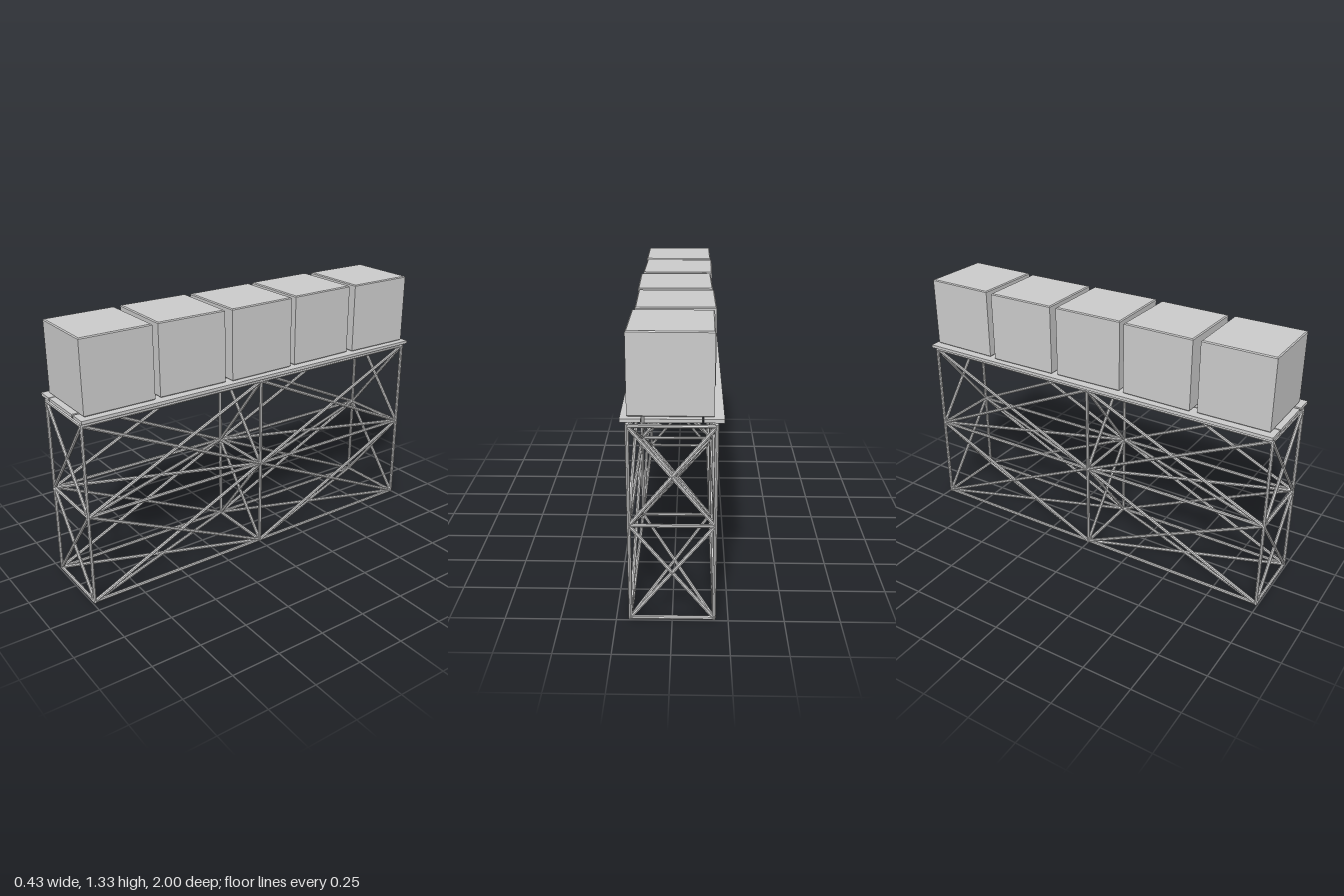
import * as THREE from 'three';

const mat = new THREE.MeshStandardMaterial({ color: 0xcccccc, flatShading: true });
const R = 0.009;
const XS = [-0.186, 0.186], YS = [0.009, 0.469, 0.928], ZS = [-0.99, 0, 0.99];

// Octagonal tube between two joints
function rod(parent, name, a, b) {
  const p = new THREE.Vector3(...a), q = new THREE.Vector3(...b);
  const dir = q.clone().sub(p);
  const m = new THREE.Mesh(new THREE.CylinderGeometry(R, R, dir.length(), 8), mat);
  m.position.copy(p).add(q).multiplyScalar(0.5);
  m.quaternion.setFromUnitVectors(new THREE.Vector3(0, 1, 0), dir.normalize());
  m.name = name;
  parent.add(m);
}

// Crossed pair of diagonals over a four-cornered bay
function cross(parent, name, a, b, c, d) {
  rod(parent, name, a, c);
  rod(parent, name, b, d);
}

// Box with thin chamfered edges on all sides
function chamferBox(w, h, d, c) {
  const s = new THREE.Shape();
  const x = w / 2 - c, z = d / 2 - c;
  s.moveTo(-x, -z).lineTo(x, -z).lineTo(x, z).lineTo(-x, z).closePath();
  const g = new THREE.ExtrudeGeometry(s, {
    depth: h - 2 * c, bevelEnabled: true, bevelThickness: c, bevelSize: c, bevelSegments: 1,
  });
  return g.translate(0, 0, c - h / 2).rotateX(-Math.PI / 2);
}

export function createModel() {
  const model = new THREE.Group();
  model.name = 'scaffoldWithCrates';

  const frame = new THREE.Group();
  frame.name = 'scaffoldFrame';
  model.add(frame);

  // Posts, rails and side bracing
  for (const x of XS) {
    for (const z of ZS) rod(frame, 'post', [x, 0.002, z], [x, 0.937, z]);
    for (const y of YS) rod(frame, 'longRail', [x, y, ZS[0]], [x, y, ZS[2]]);
    for (let i = 0; i < 2; i++) for (let j = 0; j < 2; j++) {
      const [y0, y1, z0, z1] = [YS[i], YS[i + 1], ZS[j], ZS[j + 1]];
      cross(frame, 'sideBrace', [x, y0, z0], [x, y0, z1], [x, y1, z1], [x, y1, z0]);
    }
  }

  // Cross rails and end bracing
  const [l, r] = XS;
  for (const z of ZS) {
    for (const y of YS) rod(frame, 'crossRail', [l, y, z], [r, y, z]);
    for (let i = 0; i < 2; i++) {
      const [y0, y1] = [YS[i], YS[i + 1]];
      cross(frame, 'endBrace', [l, y0, z], [r, y0, z], [r, y1, z], [l, y1, z]);
    }
  }

  // Level bracing
  for (const y of YS) for (let j = 0; j < 2; j++) {
    const [z0, z1] = [ZS[j], ZS[j + 1]];
    cross(frame, 'levelBrace', [l, y, z0], [r, y, z0], [r, y, z1], [l, y, z1]);
  }

  // Rounded joints
  const ball = new THREE.SphereGeometry(R, 8, 6);
  for (const x of XS) for (const y of YS) for (const z of ZS) {
    const m = new THREE.Mesh(ball, mat);
    m.position.set(x, y, z);
    m.name = 'joint';
    frame.add(m);
  }

  // Deck planks: [left edge, right edge]
  for (const [a, b] of [[-0.218, -0.132], [-0.126, 0.114], [0.127, 0.216]]) {
    const m = new THREE.Mesh(new THREE.BoxGeometry(b - a, 0.016, 2), mat);
    m.position.set((a + b) / 2, 0.955, 0);
    m.name = 'deckPlank';
    model.add(m);
  }

  // Crates, each slightly out of line: [x, z, turn]
  const crate = chamferBox(0.364, 0.364, 0.364, 0.005);
  const places = [
    [0.004, -0.797, -0.012], [-0.006, -0.398, 0.012], [0.004, -0.003, 0.014],
    [-0.004, 0.393, -0.012], [0, 0.791, 0.003],
  ];
  for (const [x, z, turn] of places) {
    const m = new THREE.Mesh(crate, mat);
    m.position.set(x, 1.146, z);
    m.rotation.y = turn;
    m.name = 'crate';
    model.add(m);
  }
  return model;
}
